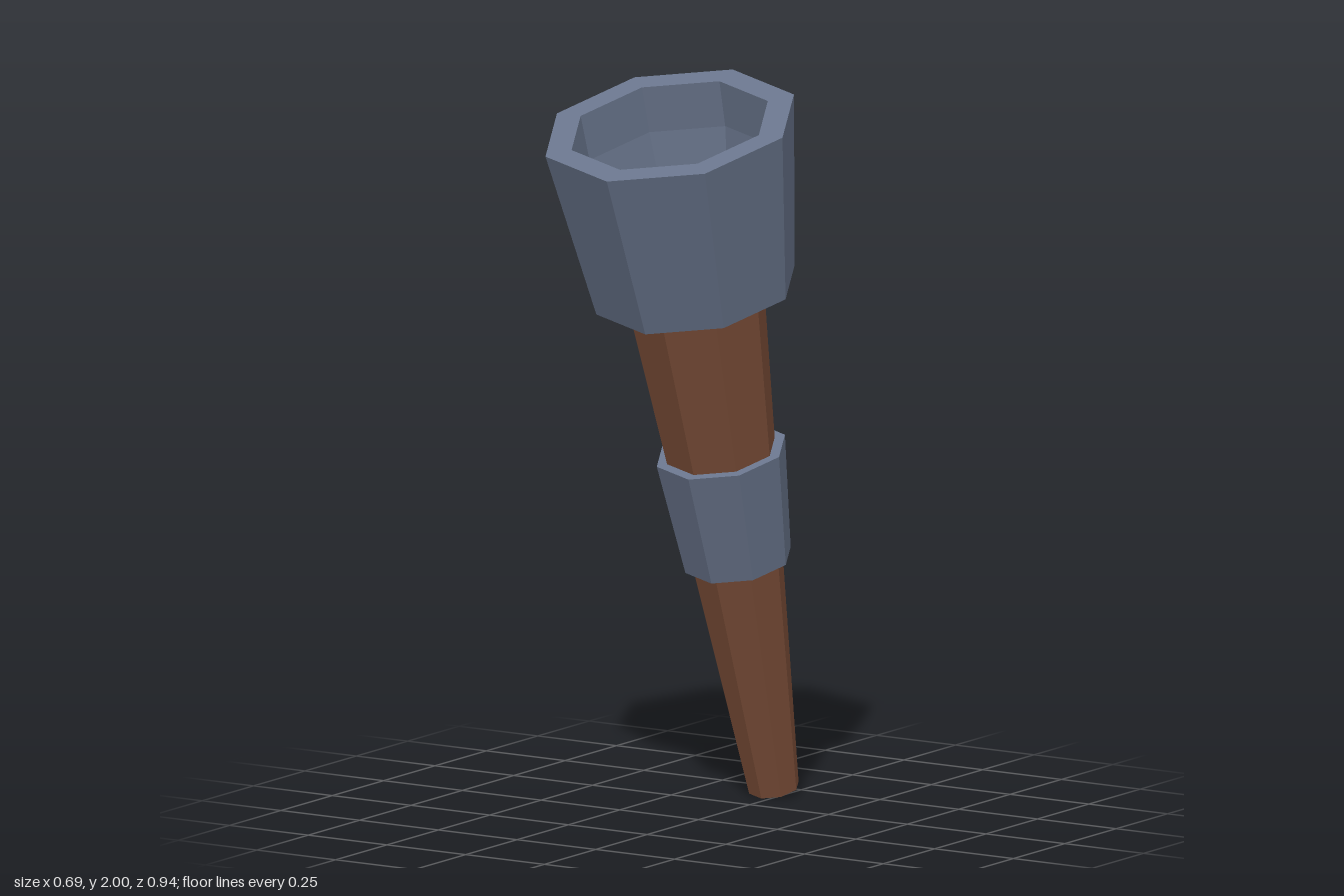
import * as THREE from 'three';

const SIDES = 8;
const TWIST = 0.05; // slight spin of the octagon about its axis

const wood = new THREE.MeshStandardMaterial({ color: 0x7d4f39, flatShading: true });
const metal = new THREE.MeshStandardMaterial({ color: 0x69758c, flatShading: true });

// Eight-sided turned part from [radius, height along the shaft] pairs
function turned(name, profile, material) {
  const points = profile.map(([r, h]) => new THREE.Vector2(r, h));
  const mesh = new THREE.Mesh(new THREE.LatheGeometry(points, SIDES, TWIST), material);
  mesh.name = name;
  return mesh;
}

export function createModel() {
  const model = new THREE.Group();
  model.name = 'torch';

  const body = new THREE.Group();
  body.name = 'tiltedBody';

  // Tapered wooden shaft, closed at its foot
  body.add(turned('shaft', [[0, 0], [0.069, 0], [0.188, 1.46], [0.188, 1.5]], wood));

  // Flared band around the middle of the shaft
  body.add(turned('collar', [
    [0.12, 0.674], [0.147, 0.674], [0.179, 0.997], [0.148, 0.997],
  ], metal));

  // Hollow cup: bevelled underside, flared wall, flat rim, inner wall
  body.add(turned('cup', [
    [0.184, 1.437], [0.277, 1.474], [0.347, 1.96],
    [0.274, 1.96], [0.268, 1.83], [0.24, 1.697],
  ], metal));

  // Wooden floor inside the cup
  body.add(turned('cupFloor', [[0.241, 1.697], [0, 1.697]], wood));

  // Lean the whole torch forward and a touch sideways
  body.rotation.set(THREE.MathUtils.degToRad(16.1), 0, THREE.MathUtils.degToRad(-0.7));
  body.position.set(-0.025, 0.02, -0.405);
  model.add(body);
  return model;
}
